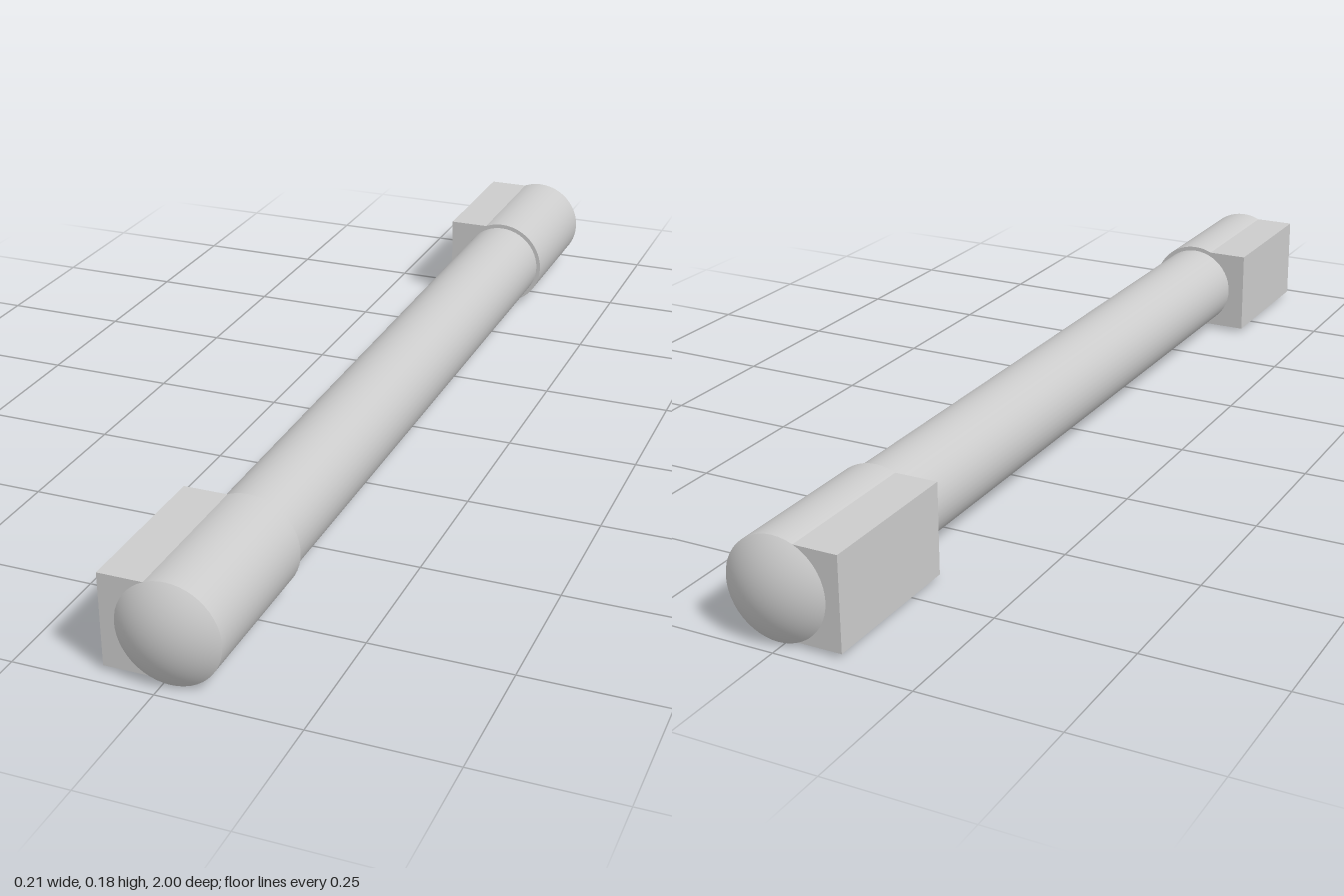
import * as THREE from 'three';

const AXIS_X = 0.012, AXIS_Y = 0.0925;   // common axis of tube and end caps
const TUBE_R = 0.0835, CAP_R = 0.092;
const CAP_IN = 0.672, CAP_OUT = 0.967;   // distance of the cap ends from the centre
const material = new THREE.MeshStandardMaterial({ color: 0xcccccc });

function part(name, geometry, parent) {
  const mesh = new THREE.Mesh(geometry, material);
  mesh.name = name;
  parent.add(mesh);
  return mesh;
}

// Cylinder lying along z
function rod(radius, length) {
  return new THREE.CylinderGeometry(radius, radius, length, 48).rotateX(Math.PI / 2);
}

// Shallow spherical cap, bulging towards +z from z = 0
function dome(radius, height) {
  const R = (radius * radius + height * height) / (2 * height);
  const sweep = Math.asin(radius / R);
  return new THREE.SphereGeometry(R, 48, 12, 0, Math.PI * 2, 0, sweep)
    .translate(0, height - R, 0)
    .rotateX(Math.PI / 2);
}

export function createModel() {
  const model = new THREE.Group();
  model.name = 'tubeWithEndMounts';

  // Long central tube
  part('tube', rod(TUBE_R, 1.9), model).position.set(AXIS_X, AXIS_Y, 0);

  // Matching mount at each end: round sleeve, square block on -x, domed end
  const length = CAP_OUT - CAP_IN, mid = (CAP_OUT + CAP_IN) / 2;
  for (const side of [1, -1]) {
    const mount = new THREE.Group();
    mount.name = side > 0 ? 'frontMount' : 'backMount';
    mount.position.set(AXIS_X, AXIS_Y, 0);
    model.add(mount);

    part('sleeve', rod(CAP_R, length), mount).position.z = side * mid;

    const depth = 0.117;
    part('mountBlock', new THREE.BoxGeometry(depth, 0.168, length), mount)
      .position.set(-depth / 2, 0, side * mid);

    const end = part('endDome', dome(CAP_R, 1 - CAP_OUT), mount);
    end.position.z = side * CAP_OUT;
    if (side < 0) end.rotation.y = Math.PI;
  }
  return model;
}
